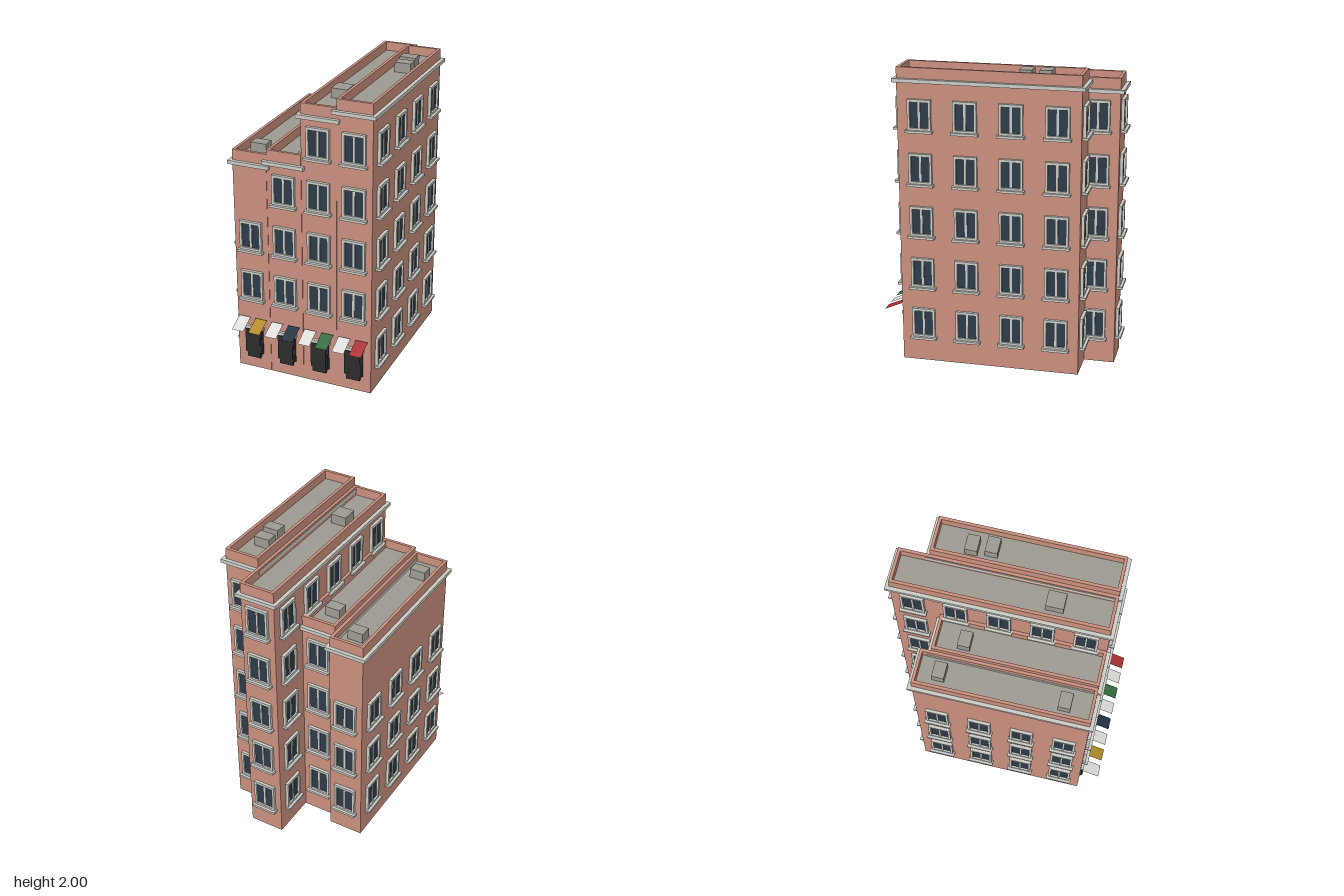
import * as THREE from 'three';

const mat = (name, color, side = THREE.FrontSide) => {
  const m = new THREE.MeshStandardMaterial({ color, side });
  m.name = name;
  return m;
};

export function createModel() {
  const D = THREE.DoubleSide;
  const wall = mat('salmon wall', 0xc98f7e, D);
  const trim = mat('pale trim', 0xcacbc5);
  const glass = mat('window glass', 0x2c3a47);
  const roofMat = mat('roof grey', 0x9c998f);
  const dark = mat('door dark', 0x2b2b2b);
  const white = mat('awning white', 0xdcdcd8, D);
  const awningMats = [
    mat('awning gold', 0xb48a28, D), mat('awning navy', 0x22303f, D),
    mat('awning green', 0x356b3f, D), mat('awning red', 0xa83034, D),
  ];

  const FRONT = 0.65, PARAPET = 0.06, FLOOR = 0.355;
  const model = new THREE.Group();
  model.name = 'rowOfBuildings';

  // Box given by its centre and size
  function box(parent, name, material, x, y, z, w, h, d) {
    const m = new THREE.Mesh(new THREE.BoxGeometry(w, h, d), material);
    m.position.set(x, y, z);
    m.name = name;
    parent.add(m);
    return m;
  }

  // Rectangular ring lying flat, between two offsets from the wall line
  function ring(parent, name, material, w, d, outer, inner, y, h) {
    const corners = (o) => [[-1, -1], [1, -1], [1, 1], [-1, 1]]
      .map(([a, b]) => new THREE.Vector2(a * (w / 2 + o), b * (d / 2 + o)));
    const shape = new THREE.Shape(corners(outer));
    shape.holes.push(new THREE.Path(corners(inner).reverse()));
    const geo = new THREE.ExtrudeGeometry(shape, { depth: h, bevelEnabled: false });
    geo.rotateX(-Math.PI / 2);
    const m = new THREE.Mesh(geo, material);
    m.position.y = y;
    m.name = name;
    parent.add(m);
  }

  // Two-pane window with a raised frame and a deep sill, facing +z
  function makeWindow(parent, x, y) {
    const g = new THREE.Group();
    g.name = 'window';
    g.position.set(x, y, 0.001);
    box(g, 'glass', glass, 0, 0.1, 0.004, 0.13, 0.18, 0.006);
    for (const s of [-1, 1]) {
      box(g, 'frameSide', trim, s * 0.069, 0.1, 0.01, 0.016, 0.2, 0.02);
    }
    box(g, 'frameTop', trim, 0, 0.191, 0.01, 0.122, 0.018, 0.02);
    box(g, 'frameBottom', trim, 0, 0.007, 0.01, 0.122, 0.014, 0.02);
    box(g, 'mullion', trim, 0, 0.098, 0.0065, 0.014, 0.168, 0.013);
    box(g, 'sill', trim, 0, -0.008, 0.019, 0.176, 0.016, 0.038);
    parent.add(g);
  }

  // Street door with surround and lintel, facing +z
  function makeDoor(parent) {
    const g = new THREE.Group();
    g.name = 'door';
    box(g, 'doorSurround', glass, 0, 0.207, 0.005, 0.13, 0.185, 0.008);
    box(g, 'doorPanel', dark, 0, 0.207, 0.008, 0.116, 0.185, 0.014);
    box(g, 'doorLeaf', dark, 0, 0.19, 0.01, 0.095, 0.21, 0.018);
    box(g, 'doorLintel', trim, 0, 0.31, 0.011, 0.148, 0.02, 0.02);
    parent.add(g);
  }

  // Thin sloping awning, facing +z
  function makeAwning(parent, x, material) {
    const rise = 0.05, reach = 0.115;
    const geo = new THREE.PlaneGeometry(0.083, Math.hypot(rise, reach));
    geo.rotateX(-Math.atan2(reach, rise));
    const m = new THREE.Mesh(geo, material);
    m.position.set(x, 0.36, 0.015 + reach / 2);
    m.name = 'awning';
    parent.add(m);
  }

  // Left edge, right edge, back z, height, floors, rooftop units [x, z, depth]
  const buildings = [
    [-0.478, -0.239, -0.5, 1.562, 3, [[-0.355, -0.345, 0.08], [-0.365, 0.468, 0.08]]],
    [-0.239, 0, -0.43, 1.595, 4, [[-0.127, -0.235, 0.08]]],
    [0, 0.239, -0.742, 1.937, 5, [[0.122, 0.283, 0.115]]],
    [0.239, 0.478, -0.54, 1.995, 5, [[0.347, -0.295, 0.08], [0.362, -0.17, 0.08]]],
  ];

  buildings.forEach(([x0, x1, back, height, floors, units], i) => {
    const b = new THREE.Group();
    b.name = 'building' + (i + 1);
    const w = x1 - x0 - 0.002, d = FRONT - back;
    const cx = (x0 + x1) / 2, cz = (FRONT + back) / 2;
    b.position.set(cx, 0, cz);
    const roofY = height - PARAPET;

    // Four walls: front, model's left, back, model's right
    for (let s = 0; s < 4; s++) {
      const across = s % 2 ? d : w, out = s % 2 ? w / 2 : d / 2;
      const pivot = new THREE.Group();
      pivot.name = ['frontWall', 'leftWall', 'backWall', 'rightWall'][s];
      pivot.rotation.y = s * Math.PI / 2;
      const face = new THREE.Group();
      face.position.z = out;
      pivot.add(face);
      b.add(pivot);

      const plane = new THREE.Mesh(new THREE.PlaneGeometry(across, roofY), wall);
      plane.position.y = roofY / 2;
      plane.name = 'wall';
      face.add(plane);

      const columns = s % 2 ? Math.round(d / 0.29) : 1;
      for (let f = s === 0 ? 1 : 0; f < floors; f++) {
        for (let c = 0; c < columns; c++) {
          makeWindow(face, ((c + 0.5) / columns - 0.5) * across, 0.175 + f * FLOOR);
        }
      }
      if (s === 0) {
        makeDoor(face);
        makeAwning(face, -0.06, white);
        makeAwning(face, 0.06, awningMats[i]);
      }
    }

    // Roof, parapet, cornice and rooftop units
    box(b, 'roof', roofMat, 0, roofY - 0.002, 0, w - 0.004, 0.004, d - 0.004);
    ring(b, 'parapet', wall, w, d, 0, -0.02, roofY, PARAPET);
    ring(b, 'cornice', trim, w, d, 0.025, 0.0005, height - 0.095, 0.024);
    for (const [ux, uz, ud] of units) {
      box(b, 'rooftopUnit', roofMat, ux - cx, roofY + 0.0325, uz - cz, 0.108, 0.065, ud);
    }
    model.add(b);
  });

  return model;
}
